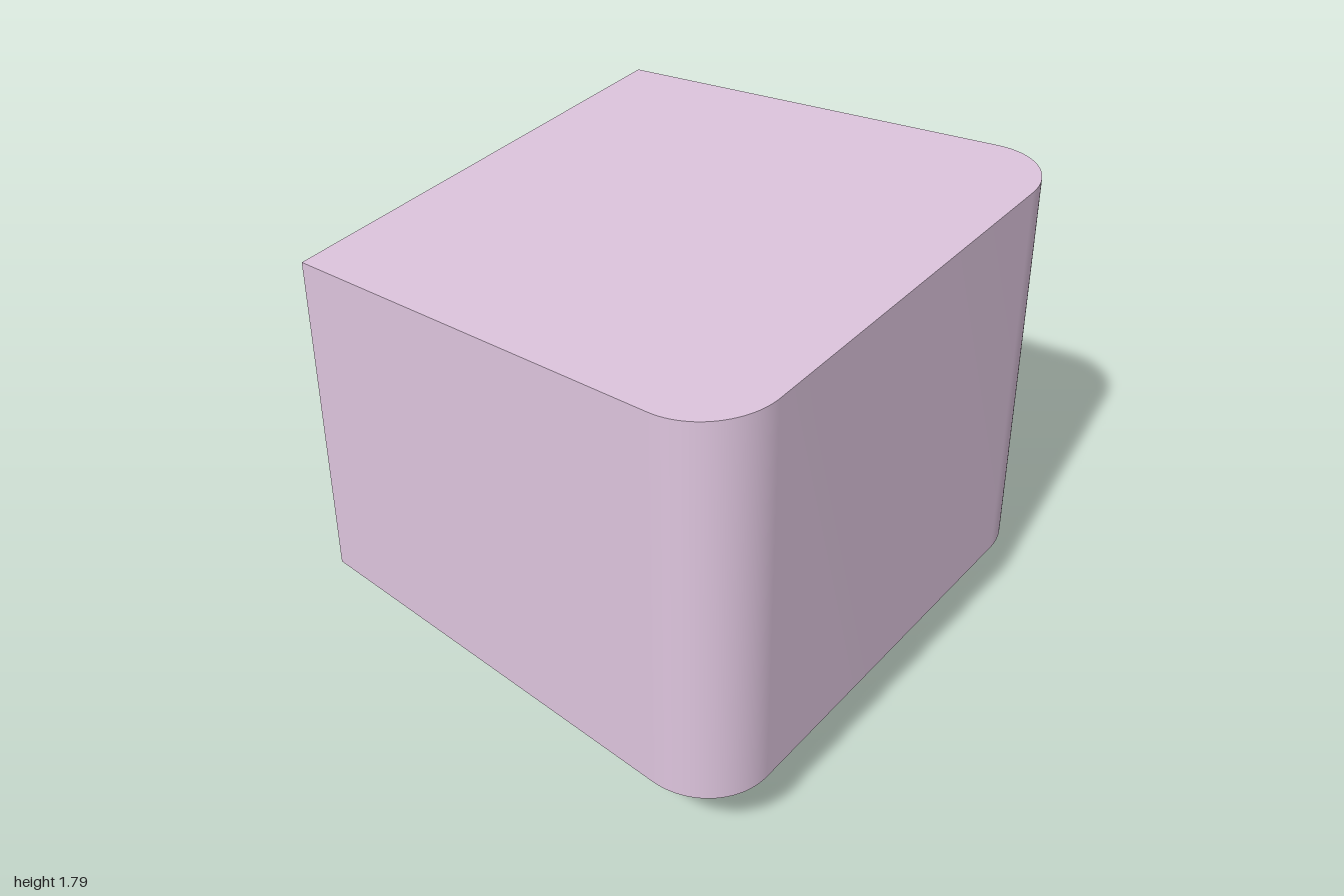
import * as THREE from 'three';
import { toCreasedNormals } from 'three/addons/utils/BufferGeometryUtils.js';

const material = new THREE.MeshStandardMaterial({ color: 0xdec5de });

function extrude(shape, depth) {
  return new THREE.ExtrudeGeometry(shape, { depth, bevelEnabled: false, curveSegments: 20 });
}

function addPart(group, name, geometry) {
  const mesh = new THREE.Mesh(toCreasedNormals(geometry, 0.4), material);
  mesh.name = name;
  group.add(mesh);
}

// Block that widens towards +x, with two rounded vertical edges there
function bodyGeometry() {
  const halfX = 0.895, backZ = 0.895, r = 0.26, cx = halfX - r, cz = 0.74;
  const taper = 0.068; // lean of the sides, in radians
  const outline = new THREE.Shape();
  outline.moveTo(-halfX, backZ);
  outline.lineTo(-halfX, -backZ);
  outline.absarc(cx, -cz, r, -Math.PI / 2 - taper, 0, false);
  outline.absarc(cx, cz, r, 0, Math.PI / 2 + taper, false);
  outline.closePath();

  const geometry = extrude(outline, 1).rotateX(-Math.PI / 2);
  // Slope the top up and the bottom down towards +x
  const p = geometry.attributes.position;
  for (let i = 0; i < p.count; i++) {
    const t = (p.getX(i) + halfX) / (2 * halfX);
    const bottom = THREE.MathUtils.lerp(0.387, 0.26, t);
    const top = THREE.MathUtils.lerp(1.662, 1.79, t);
    p.setY(i, p.getY(i) > 0.5 ? top : bottom);
  }
  return geometry;
}

// Short bar under the body with rounded lower edges
function footGeometry() {
  const w = 0.51, h = 0.37, r = 0.13;
  const profile = new THREE.Shape();
  profile.moveTo(w, h);
  profile.lineTo(-w, h);
  profile.absarc(-w + r, r, r, Math.PI, Math.PI * 1.5, false);
  profile.absarc(w - r, r, r, Math.PI * 1.5, Math.PI * 2, false);
  profile.closePath();
  return extrude(profile, 0.51).rotateY(Math.PI / 2).translate(-0.488, 0, 0);
}

export function createModel() {
  const group = new THREE.Group();
  group.name = 'taperedBlock';
  addPart(group, 'body', bodyGeometry());
  addPart(group, 'foot', footGeometry());
  return group;
}
